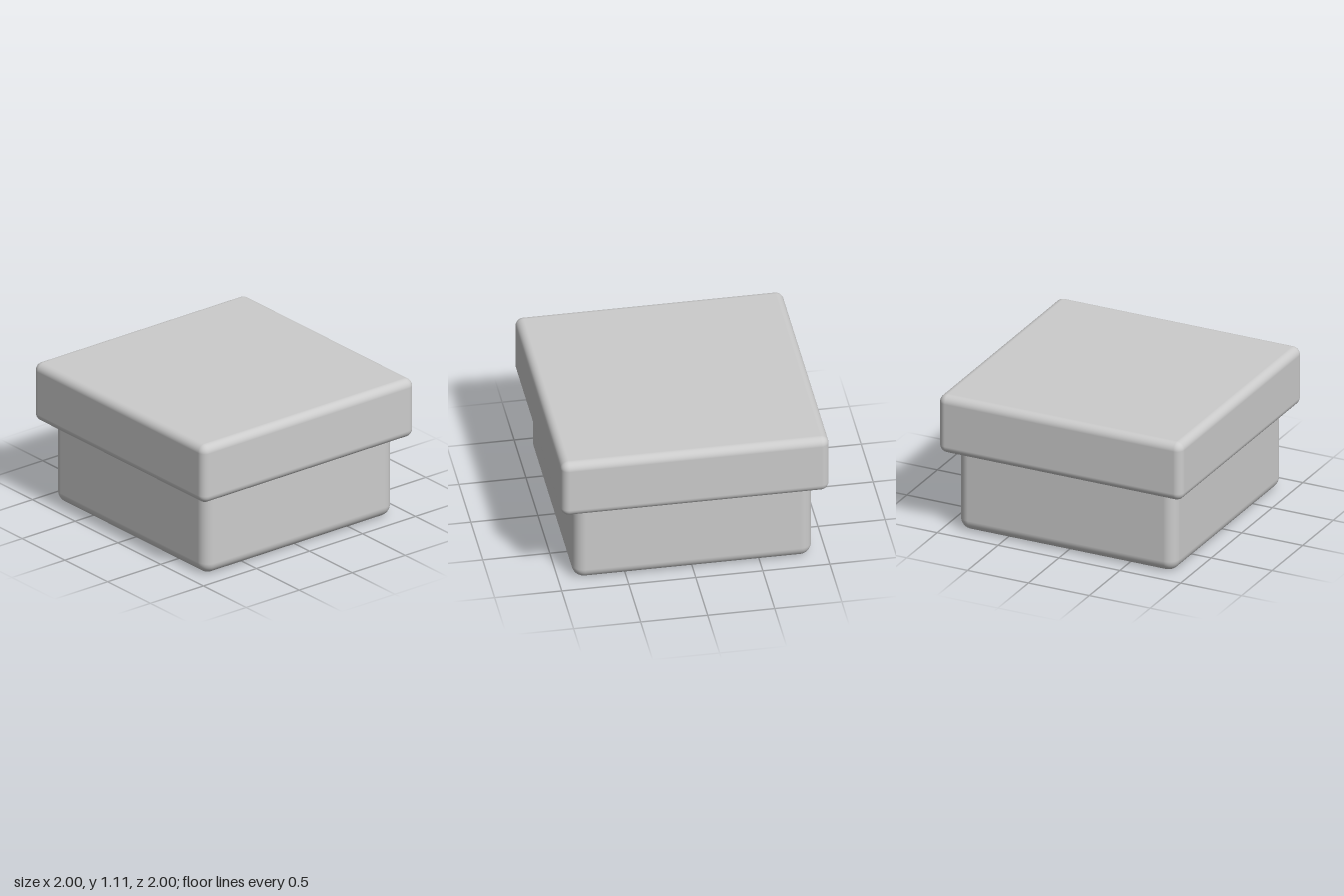
import * as THREE from 'three';
import { RoundedBoxGeometry } from 'three/addons/geometries/RoundedBoxGeometry.js';

const material = new THREE.MeshStandardMaterial({ color: 0xcccccc });

// Square rounded block spanning bottom..top in height
function roundedBlock(name, width, bottom, top, radius) {
  const geometry = new RoundedBoxGeometry(width, top - bottom, width, 6, radius);
  const mesh = new THREE.Mesh(geometry, material);
  mesh.name = name;
  mesh.position.y = (bottom + top) / 2;
  return mesh;
}

export function createModel() {
  const group = new THREE.Group();
  group.name = 'liddedBox';

  // Body, its top hidden inside the lid
  group.add(roundedBlock('boxBody', 1.785, 0, 0.9, 0.09));

  // Wider overhanging lid
  group.add(roundedBlock('lid', 2, 0.642, 1.107, 0.062));

  return group;
}
